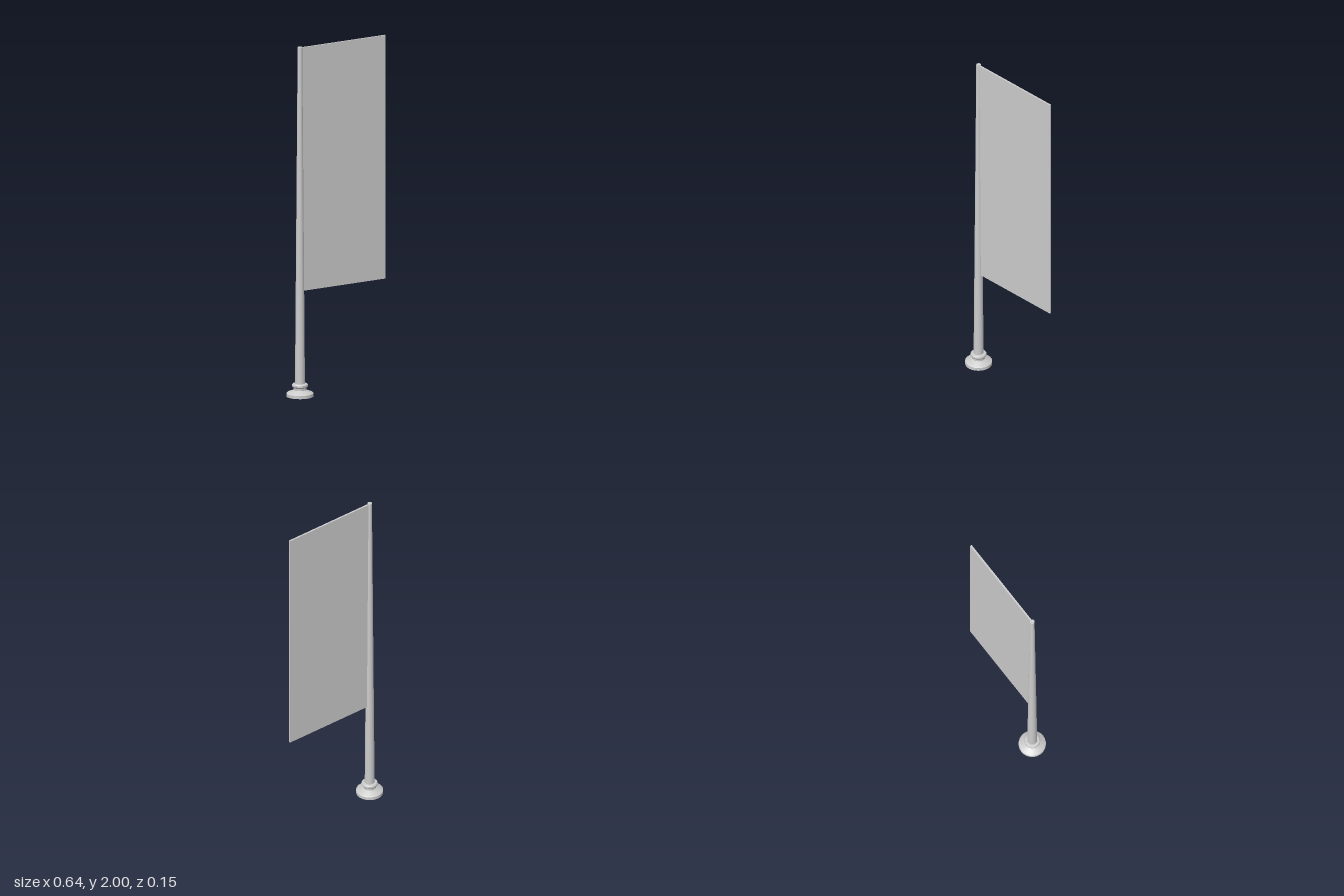
import * as THREE from 'three';
import { toCreasedNormals } from 'three/addons/utils/BufferGeometryUtils.js';

const POLE_X = -0.246;
const SIDES = 24;

export function createModel() {
  const model = new THREE.Group();
  const grey = new THREE.MeshStandardMaterial({ color: 0xcccccc });

  function add(name, geometry, x, y) {
    const mesh = new THREE.Mesh(geometry, grey);
    mesh.name = name;
    mesh.position.set(x, y, 0);
    model.add(mesh);
  }

  // Turned foot: wide disc, sloping shoulder, narrow neck and rounded collar
  const profile = [
    [0, 0], [0.076, 0], [0.076, 0.018], [0.07, 0.023], [0.042, 0.033],
    [0.036, 0.037], [0.036, 0.049], [0.041, 0.053], [0.045, 0.058],
    [0.045, 0.067], [0.041, 0.072], [0.028, 0.074], [0, 0.074],
  ].map(([r, y]) => new THREE.Vector2(r, y));
  add('foot', toCreasedNormals(new THREE.LatheGeometry(profile, SIDES), 0.6), POLE_X, 0);

  // Tapered pole rising from the foot
  const bottom = 0.07, top = 2;
  add('pole', new THREE.CylinderGeometry(0.013, 0.028, top - bottom, SIDES), POLE_X, (top + bottom) / 2);

  // Stiff rectangular banner, its inner edge sunk into the pole
  const left = -0.235, right = 0.322, low = 0.602, high = 1.996;
  add('banner', new THREE.BoxGeometry(right - left, high - low, 0.01), (left + right) / 2, (low + high) / 2);

  return model;
}
